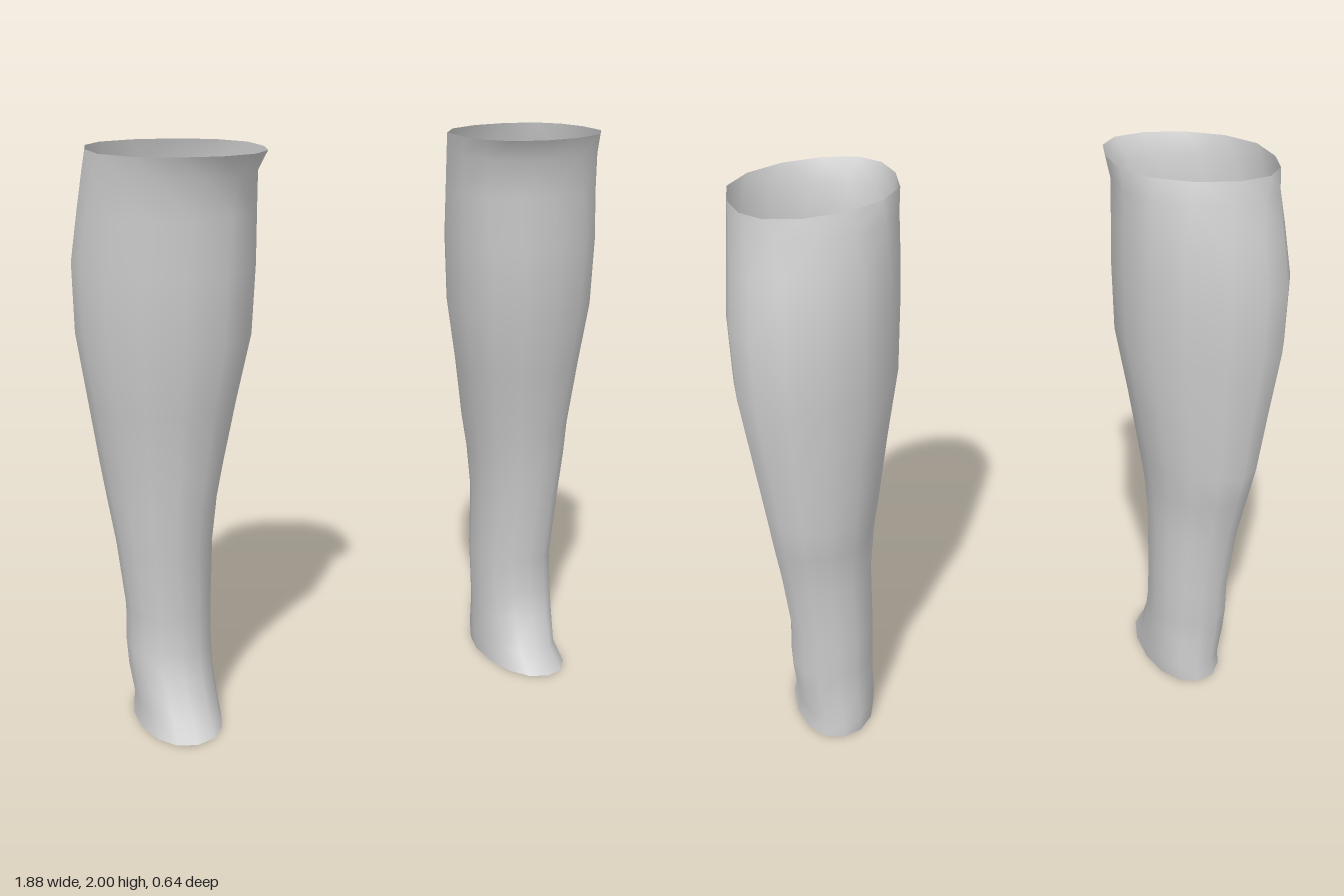
import * as THREE from 'three';

// Cross-sections: height, inner x, outer x, front z, back z, skew of sides in z, lean of front in x
const RINGS = [
  [0.005, 0.54, 0.825, 0.265, -0.24, 0, 0],
  [0.07, 0.54, 0.812, 0.19, -0.235, 0, 0],
  [0.18, 0.543, 0.825, 0.13, -0.225, 0, 0],
  [0.27, 0.54, 0.828, 0.105, -0.227, 0, 0],
  [0.40, 0.535, 0.822, 0.10, -0.235, 0, 0],
  [0.64, 0.528, 0.845, 0.12, -0.243, -0.01, 0],
  [0.80, 0.51, 0.866, 0.14, -0.272, -0.02, 0],
  [0.92, 0.487, 0.88, 0.153, -0.295, -0.03, 0],
  [1.15, 0.443, 0.91, 0.19, -0.303, -0.04, 0],
  [1.38, 0.395, 0.94, 0.237, -0.32, -0.05, 0],
  [1.62, 0.378, 0.942, 0.255, -0.32, -0.05, 0],
  [1.80, 0.37, 0.922, 0.26, -0.285, -0.03, -0.01],
  [1.93, 0.366, 0.908, 0.277, -0.255, -0.01, -0.03],
  [2.0, 0.355, 0.90, 0.32, -0.235, 0, -0.07],
];
const SIDES = 14;

const soft = (v) => Math.sign(v) * Math.abs(v) ** 0.93; // slightly full oval

function legGeometry(side) {
  const points = [], index = [];
  for (const [y, inner, outer, front, back, skew, lean] of RINGS) {
    for (let i = 0; i < SIDES; i++) {
      const a = ((i + 0.5) / SIDES) * Math.PI * 2;
      const c = soft(Math.cos(a)), s = soft(Math.sin(a));
      const x = (inner + outer) / 2 + c * (outer - inner) / 2 * 1.015 + lean * s * Math.abs(s);
      const z = (front + back) / 2 + s * (front - back) / 2 + skew * c;
      points.push(side * x, y, z);
    }
  }
  for (let r = 0; r < RINGS.length - 1; r++) {
    for (let i = 0; i < SIDES; i++) {
      const a = r * SIDES + i, b = r * SIDES + (i + 1) % SIDES;
      const c = a + SIDES, d = b + SIDES;
      // mirrored leg needs the opposite corner order
      if (side > 0) index.push(a, c, b, b, c, d);
      else index.push(a, b, c, b, d, c);
    }
  }
  const g = new THREE.BufferGeometry();
  g.setAttribute('position', new THREE.Float32BufferAttribute(points, 3));
  g.setIndex(index);
  g.computeVertexNormals();
  return g;
}

export function createModel() {
  const model = new THREE.Group();
  model.name = 'lowerLegs';
  const grey = new THREE.MeshStandardMaterial({ color: 0xcccccc, side: THREE.DoubleSide });
  grey.name = 'light grey';

  // Pair of open shin sleeves, mirrored
  for (const [name, side] of [['leftShin', 1], ['rightShin', -1]]) {
    const leg = new THREE.Mesh(legGeometry(side), grey);
    leg.name = name;
    model.add(leg);
  }
  return model;
}
